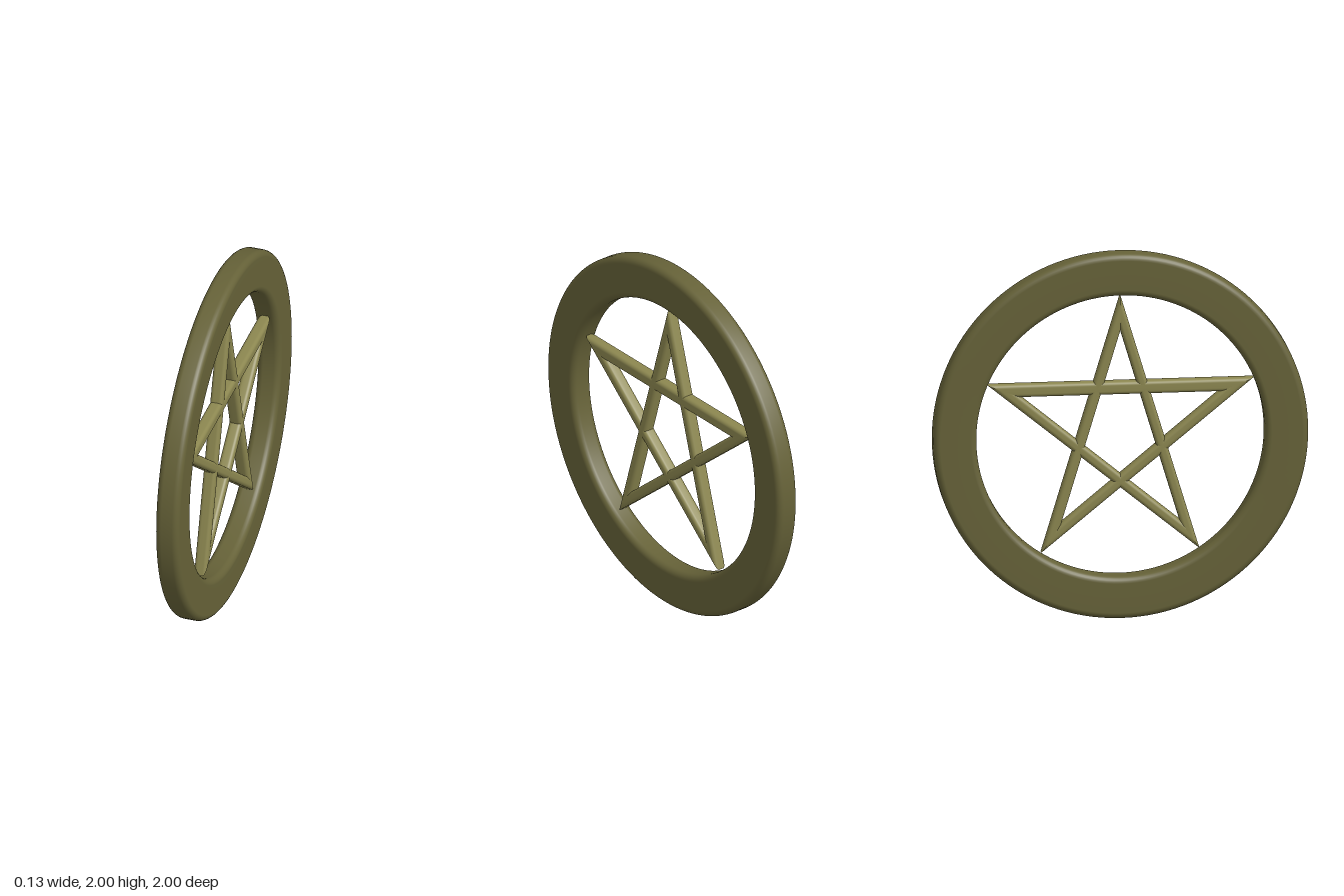
import * as THREE from 'three';

// Closed counter-clockwise rounded rectangle, starting at the middle of its right side
function roundedRect(w, h, r, steps) {
  const pts = [new THREE.Vector2(w / 2, 0)];
  [[1, 1], [-1, 1], [-1, -1], [1, -1]].forEach(([sx, sy], corner) => {
    for (let i = 0; i <= steps; i++) {
      const a = (corner + i / steps) * Math.PI / 2;
      pts.push(new THREE.Vector2(
        sx * (w / 2 - r) + r * Math.cos(a),
        sy * (h / 2 - r) + r * Math.sin(a)));
    }
  });
  pts.push(pts[0].clone());
  return pts;
}

// One straight bar of the star: a rounded section swept between two mitred tips.
// Each tip holds its outer and inner corner as [z, y].
function starBar(from, to, width, depth) {
  const profile = roundedRect(width, depth, 0.02, 5);
  const n = profile.length - 1;
  const position = [], index = [];
  for (const { outer, inner } of [from, to]) {
    for (let i = 0; i < n; i++) {
      const t = profile[i].x / width + 0.5;
      position.push(
        profile[i].y,
        THREE.MathUtils.lerp(outer[1], inner[1], t),
        THREE.MathUtils.lerp(outer[0], inner[0], t));
    }
  }
  for (let i = 0; i < n; i++) {
    const j = (i + 1) % n;
    index.push(i, j, n + j, i, n + j, n + i);
  }
  const geometry = new THREE.BufferGeometry();
  geometry.setAttribute('position', new THREE.Float32BufferAttribute(position, 3));
  geometry.setIndex(index);
  geometry.computeVertexNormals();
  return geometry;
}

export function createModel() {
  const model = new THREE.Group();
  model.name = 'starInRing';
  const ringMaterial = new THREE.MeshStandardMaterial({ color: 0x666238 });
  const starMaterial = new THREE.MeshStandardMaterial({ color: 0x8c8750 });

  // Ring: rounded section turned about the x axis
  const section = roundedRect(0.23, 0.13, 0.035, 6);
  section.forEach((p) => { p.x += 0.885; });
  const ringGeometry = new THREE.LatheGeometry(section, 128);
  ringGeometry.rotateZ(Math.PI / 2);
  const ring = new THREE.Mesh(ringGeometry, ringMaterial);
  ring.name = 'ring';
  ring.position.y = 1;
  model.add(ring);

  // Star: five crossing bars, tips listed in the order they are joined
  const tip = (sign, outer, inner) => ({
    outer: [sign * outer[0], outer[1]],
    inner: [sign * inner[0], inner[1]],
  });
  const side = (s) => tip(s, [0.71, 0.294], [0.53, 0.224]);
  const foot = (s) => tip(s, [0.422, -0.634], [0.315, -0.474]);
  const top = tip(1, [0, 0.766], [0, 0.573]);
  const tips = [side(-1), side(1), foot(-1), top, foot(1)];

  const star = new THREE.Group();
  star.name = 'star';
  star.position.y = 1;
  tips.forEach((from, i) => {
    const bar = new THREE.Mesh(
      starBar(from, tips[(i + 1) % tips.length], i === 0 ? 0.07 : 0.056, 0.07),
      starMaterial);
    bar.name = `starBar${i + 1}`;
    star.add(bar);
  });
  model.add(star);

  return model;
}
